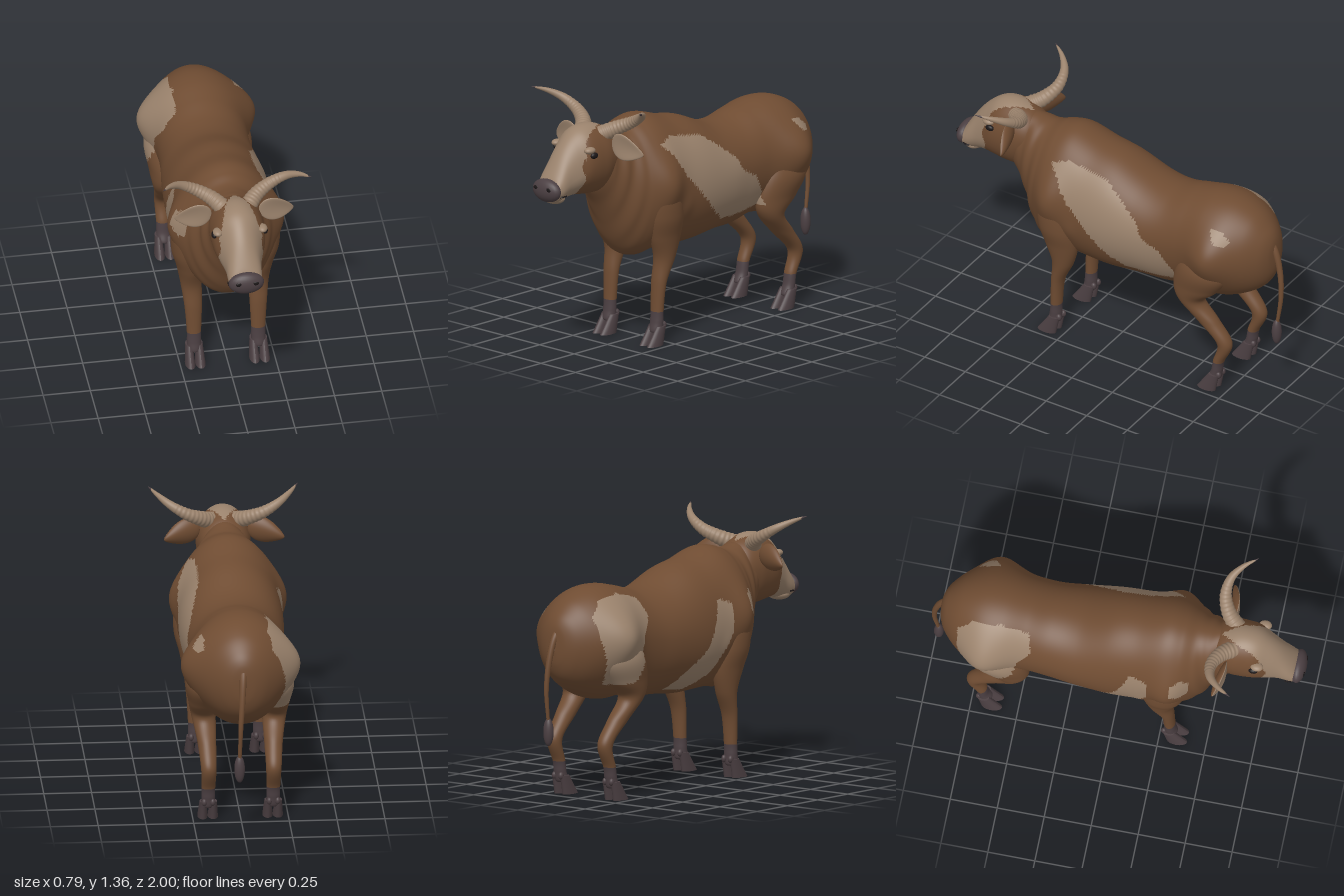
import * as THREE from 'three';
import { mergeVertices } from 'three/addons/utils/BufferGeometryUtils.js';

const mat = (name, color) => {
  const m = new THREE.MeshStandardMaterial({ color });
  m.name = name;
  return m;
};

// Smooth interpolation through rows of section values
function sampler(rows) {
  const n = rows[0].length;
  const f = new THREE.CubicInterpolant(rows.map((_, i) => i), rows.flat(), n, new Float32Array(n));
  return (u) => [...f.evaluate(u * (rows.length - 1))];
}

// Closed surface from cross-sections; ringPoint gives [x, y, z] for a row at angle t
function loft(rows, ringPoint, rings, seg) {
  const at = sampler(rows), pos = [], idx = [];
  for (let i = 0; i <= rings; i++) {
    const row = at(i / rings);
    for (let j = 0; j < seg; j++) {
      pos.push(...ringPoint(row, (j / seg) * Math.PI * 2));
      if (i === rings) continue;
      const a = i * seg + j, b = i * seg + ((j + 1) % seg);
      idx.push(a, b, a + seg, b, b + seg, a + seg);
    }
  }
  const g = new THREE.BufferGeometry();
  g.setAttribute('position', new THREE.Float32BufferAttribute(pos, 3));
  g.setIndex(idx);
  g.computeVertexNormals();
  return g;
}

// Split faces into colour groups by where their centre lies
function paint(g, pick, count) {
  const p = g.attributes.position, ix = g.index.array;
  const buckets = Array.from({ length: count }, () => []);
  const v = [0, 1, 2].map(() => new THREE.Vector3());
  for (let i = 0; i < ix.length; i += 3) {
    v.forEach((q, k) => q.fromBufferAttribute(p, ix[i + k]));
    const c = v[0].clone().add(v[1]).add(v[2]).divideScalar(3);
    buckets[pick(c)].push(ix[i], ix[i + 1], ix[i + 2]);
  }
  g.setIndex(buckets.flat());
  g.clearGroups();
  let start = 0;
  buckets.forEach((b, k) => { g.addGroup(start, b.length, k); start += b.length; });
  return g;
}

// Tube along a smooth path with a varying radius
function taperedTube(points, radius, n, seg) {
  const curve = new THREE.CatmullRomCurve3(points.map((p) => new THREE.Vector3(...p)));
  const g = new THREE.TubeGeometry(curve, n, 1, seg);
  const p = g.attributes.position, v = new THREE.Vector3();
  for (let i = 0; i < p.count; i++) {
    const u = Math.floor(i / (seg + 1)) / n, c = curve.getPointAt(u);
    v.fromBufferAttribute(p, i).sub(c).multiplyScalar(radius(u)).add(c);
    p.setXYZ(i, v.x, v.y, v.z);
  }
  g.deleteAttribute('uv');
  g.deleteAttribute('normal');
  const m = mergeVertices(g, 1e-5);
  m.computeVertexNormals();
  return m;
}

function inside(poly, z, y) {
  let hit = false;
  for (let i = 0, j = poly.length - 1; i < poly.length; j = i++) {
    const [a, b] = poly[i], [c, d] = poly[j];
    if ((b > y) !== (d > y) && z < ((c - a) * (y - b)) / (d - b) + a) hit = !hit;
  }
  return hit;
}

// Coat patches as (z, y) outlines on each flank
const leftPatches = [
  [[.315, 1.085], [.21, 1.11], [-.02, 1.065], [-.12, .995], [-.225, .915], [-.27, .835], [-.38, .78], [-.44, .675],
    [-.455, .605], [-.29, .585], [-.14, .59], [-.02, .69], [.1, .82], [.19, .915], [.25, 1.02]],
  [[-.66, 1.03], [-.73, 1.02], [-.785, .975], [-.77, .95], [-.7, .97]],
];
const rightPatches = [
  [[-.83, .98], [-.75, 1.06], [-.6, 1.08], [-.45, 1.04], [-.43, .95], [-.5, .85], [-.52, .72], [-.6, .62],
    [-.74, .61], [-.78, .72], [-.82, .85]],
  [[.2, .95], [.1, .97], [.06, .85], [0, .72], [-.12, .62], [-.2, .52], [-.05, .5], [.08, .58], [.15, .7], [.2, .8]],
  [[.32, .9], [.32, .98], [.37, 1.0], [.41, .96], [.41, .87], [.37, .85]],
];
const inPatch = (c) => (c.x > 0 ? leftPatches : rightPatches).some((p) => inside(p, c.z, c.y));

// Muscle swellings: z, y, spread z, spread y, amount
const bumps = [[.3, .88, .09, .16, .05], [-.69, .86, .12, .17, .07], [.17, .72, .04, .06, .008]];

// Upright section; row = z, top, widest height, bottom, half width
function sideRing([z, top, mid, bottom, w], t) {
  const s = Math.sin(t);
  return [Math.max(w, 0) * Math.cos(t), mid + s * (s > 0 ? top - mid : mid - bottom), z];
}
function bodyRing(row, t) {
  const [x, y, z] = sideRing(row, t), c = Math.cos(t);
  let out = 0;
  for (const [bz, by, sz, sy, a] of bumps) out += a * Math.exp(-(((z - bz) / sz) ** 2) - ((y - by) / sy) ** 2);
  if (z > .4 && z < .6) out += .006 * Math.sin((z - .4) * 75 + y * 12) * Math.sin((z - .4) * 5 * Math.PI);
  return [x + c * out, y, z];
}
// Level section; row = y, x, z, radius x, radius z
const levelRing = ([y, x, z, rx, rz], t) =>
  [x + Math.max(rx, 0) * Math.cos(t), y, z + Math.max(rz, 0) * Math.sin(t)];

const bodyRows = [
  [-.948, .86, .83, .8, .005], [-.935, .94, .83, .72, .07], [-.9, 1.0, .83, .65, .13], [-.83, 1.065, .83, .59, .19],
  [-.72, 1.112, .84, .535, .235], [-.6, 1.12, .84, .51, .25], [-.47, 1.095, .83, .515, .24], [-.34, 1.065, .81, .487, .243],
  [-.2, 1.075, .8, .485, .26], [-.02, 1.145, .8, .468, .273], [.12, 1.175, .81, .47, .272], [.26, 1.215, .84, .472, .262],
  [.35, 1.205, .84, .46, .25], [.42, 1.182, .84, .487, .22], [.48, 1.185, .88, .56, .182], [.53, 1.195, .95, .67, .15],
  [.58, 1.195, 1.0, .78, .13], [.63, 1.17, 1.0, .86, .1], [.66, 1.1, 1.0, .92, .02],
];
const headRows = [
  [.46, 1.08, 1.05, 1.0, .02], [.52, 1.18, 1.06, .92, .11], [.6, 1.225, 1.06, .865, .14], [.67, 1.238, 1.05, .86, .142],
  [.74, 1.225, 1.04, .868, .135], [.8, 1.185, 1.0, .875, .113], [.86, 1.12, .97, .868, .095], [.92, 1.03, .935, .853, .089],
  [.95, .975, .92, .87, .075], [.96, .93, .92, .91, .005],
];
const foreRows = [
  [.95, .2, .29, .02, .04], [.85, .2, .29, .08, .1], [.7, .2, .275, .085, .11], [.58, .188, .26, .068, .095],
  [.46, .178, .257, .056, .06], [.33, .172, .291, .046, .035], [.18, .17, .302, .038, .03], [.12, .17, .305, .038, .032],
  [.07, .17, .31, .034, .034], [.06, .17, .31, .002, .002],
];
const hindRows = [
  [.9, .17, -.6, .03, .06], [.75, .19, -.62, .09, .15], [.62, .19, -.57, .077, .13], [.53, .185, -.54, .065, .075],
  [.42, .175, -.635, .05, .065], [.3, .17, -.735, .041, .042], [.18, .17, -.7, .036, .03], [.12, .17, -.69, .036, .03],
  [.07, .17, -.675, .034, .034], [.06, .17, -.675, .002, .002],
];

export function createModel() {
  const model = new THREE.Group();
  const brown = mat('brown coat', 0x6f4c32), tan = mat('tan patch', 0x9a826c);
  const dark = mat('dark hoof', 0x4b3f42), black = mat('black eye', 0x1c1718);
  const add = (name, geo, material, parent = model) => {
    const m = new THREE.Mesh(geo, material);
    m.name = name;
    parent.add(m);
    return m;
  };
  const ball = (name, material, pos, size) => {
    const m = add(name, new THREE.SphereGeometry(1, 24, 16), material);
    m.position.set(...pos);
    m.scale.set(...size);
    return m;
  };

  // Trunk and neck
  add('body', paint(loft(bodyRows, bodyRing, 200, 96), (c) => +inPatch(c), 2), [brown, tan]);

  // Head with a pale blaze and muzzle
  const blaze = new THREE.CubicInterpolant([.5, .55, .65, .73, .77, .8], [0, .005, .06, .085, .11, .2], 1, [0]);
  const isPale = (c) => c.z > .79 + .01 * Math.sin(c.y * 50) ||
    (c.z > .55 && c.y > 1.08 && Math.abs(c.x) < blaze.evaluate(c.z)[0]);
  add('head', paint(loft(headRows, sideRing, 90, 64), (c) => +isPale(c), 2), [brown, tan]);
  ball('muzzle', dark, [0, .93, .955], [.094, .062, .043]);
  ball('chin', tan, [0, .883, .905], [.07, .034, .05]);

  // Ear leaf, pale inside
  const ear = new THREE.SphereGeometry(1, 32, 24).rotateZ(-Math.PI / 2);
  const p = ear.attributes.position;
  for (let i = 0; i < p.count; i++) {
    const t = (p.getX(i) + 1) / 2, y = p.getY(i), z = p.getZ(i);
    p.setXYZ(i, .125 + .19 * t, 1.135 - .035 * t * t + y * .072 * (1.08 - .6 * t * t),
      .595 - .04 * t + z * .018 + .02 * y * y);
  }
  ear.computeVertexNormals();
  const order = ear.index.array, nz = ear.attributes.normal;
  const faces = [[], []];
  for (let i = 0; i < order.length; i += 3) {
    const s = nz.getZ(order[i]) + nz.getZ(order[i + 1]) + nz.getZ(order[i + 2]);
    faces[s > 0 ? 1 : 0].push(order[i], order[i + 1], order[i + 2]);
  }
  ear.setIndex(faces.flat());
  ear.addGroup(0, faces[0].length, 0);
  ear.addGroup(faces[0].length, faces[1].length, 1);

  // Claw of a cloven hoof, leaning forward
  const claw = new THREE.CylinderGeometry(.019, .027, .1, 20, 4);
  const q = claw.attributes.position;
  for (let i = 0; i < q.count; i++) {
    const y = q.getY(i) + .05;
    q.setXYZ(i, q.getX(i), y, q.getZ(i) * (2.05 - y * 4) + .035 - y * .45);
  }
  claw.computeVertexNormals();

  for (const s of [1, -1]) {
    const side = s > 0 ? 'left' : 'right';
    add(side + 'Ear', ear, [brown, tan]).scale.x = s;
    ball(side + 'Eye', black, [s * .135, 1.1, .738], [.014, .017, .024]);
    ball(side + 'Brow', tan, [s * .118, 1.127, .755], [.026, .018, .034]);
    ball(side + 'Nostril', black, [s * .045, .945, .991], [.016, .011, .004]);
    add(side + 'MouthLine', taperedTube([[s * .062, .898, .95], [s * .086, .903, .925], [s * .086, .902, .895]],
      () => .004, 12, 6), black);

    // Ringed horn with a dark tip
    const horn = taperedTube([[s * .06, 1.175, .62], [s * .12, 1.21, .56], [s * .2, 1.25, .527], [s * .28, 1.295, .54],
      [s * .34, 1.33, .59], [s * .392, 1.358, .665]],
    (u) => .046 * (1 - u) ** .8 * (u < .55 ? 1 + .035 * Math.sin(u * 130) : 1) + .0008, 120, 20);
    add(side + 'Horn', paint(horn, (c) => +(Math.abs(c.x) > .378), 2), [tan, dark]);

    // Legs, hooves and dewclaws
    for (const [name, rows, footZ] of [['Foreleg', foreRows, .31], ['HindLeg', hindRows, -.675]]) {
      const mirrored = rows.map(([y, x, z, rx, rz]) => [y, x * s, z, rx, rz]);
      const pick = (c) => (c.y < .178 ? 2 : +inPatch(c));
      add(side + name, paint(loft(mirrored, levelRing, 100, 36), pick, 3), [brown, tan, dark]);
      for (const k of [-1, 1]) {
        add(side + name + 'Hoof', claw, dark).position.set(s * .17 + k * .027, 0, footZ);
        ball(side + name + 'Dewclaw', dark, [s * .17 + k * .022, .1, footZ - .034], [.014, .02, .016]);
      }
    }
  }

  // Tail and tuft
  add('tail', taperedTube([[0, .93, -.9], [.005, .86, -.945], [.012, .74, -.978], [.02, .6, -.988], [.024, .43, -.968]],
    (u) => .02 - .011 * u, 50, 12), brown);
  ball('tailTuft', dark, [.025, .375, -.965], [.028, .075, .026]);
  return model;
}
